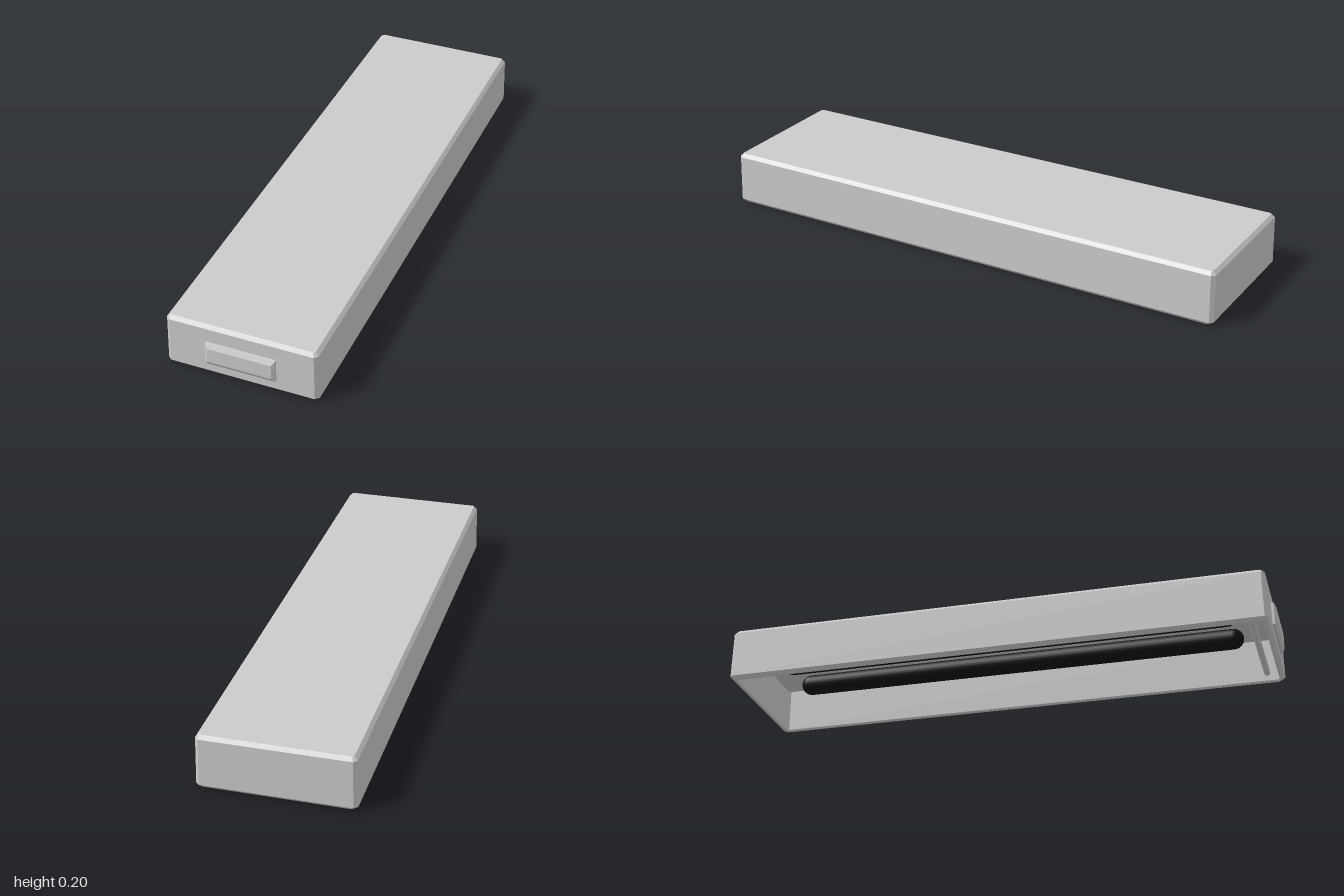
import * as THREE from 'three';

// Ring of a rectangle with cut corners at height y
function ring(hx, hz, y, c) {
  return [
    [-hx + c, hz], [hx - c, hz], [hx, hz - c], [hx, -hz + c],
    [hx - c, -hz], [-hx + c, -hz], [-hx, -hz + c], [-hx, hz - c],
  ].map(([x, z]) => [x, y, z]);
}

// Flat-shaded skin through a sequence of rings, capped at both ends
function skin(rings) {
  const pos = [];
  const tri = (a, b, c) => pos.push(...a, ...b, ...c);
  const n = rings[0].length;
  for (let k = 0; k < rings.length - 1; k++) {
    for (let i = 0; i < n; i++) {
      const j = (i + 1) % n;
      tri(rings[k][i], rings[k][j], rings[k + 1][j]);
      tri(rings[k][i], rings[k + 1][j], rings[k + 1][i]);
    }
  }
  const first = rings[0], last = rings[rings.length - 1];
  for (let i = 1; i < n - 1; i++) {
    tri(first[0], first[i + 1], first[i]);
    tri(last[0], last[i], last[i + 1]);
  }
  const geo = new THREE.BufferGeometry();
  geo.setAttribute('position', new THREE.Float32BufferAttribute(pos, 3));
  geo.computeVertexNormals();
  return geo;
}

export function createModel() {
  const group = new THREE.Group();
  const grey = new THREE.MeshStandardMaterial({ color: 0xcccccc });
  const black = new THREE.MeshStandardMaterial({ color: 0x111111 });
  const add = (name, geo, mat, x = 0, y = 0, z = 0) => {
    const mesh = new THREE.Mesh(geo, mat);
    mesh.name = name;
    mesh.position.set(x, y, z);
    group.add(mesh);
    return mesh;
  };

  // Housing open at the bottom: inner ceiling, inner wall, rim, outer wall, top
  const HX = 0.275, HZ = 0.992;
  const profile = [ // inset, height, corner cut
    [0.021, 0.17, 0.008],
    [0.021, 0.006, 0.008],
    [0.016, 0, 0.012],
    [0.012, 0, 0.013],
    [0, 0.013, 0.013],
    [0.003, 0.187, 0.013],
    [0.015, 0.2, 0.006],
  ];
  add('housing', skin(profile.map(([d, y, c]) => ring(HX - d, HZ - d, y, c))), grey, 0, 0, -0.008);

  // Bevelled plate on the front end
  const plate = skin([
    ring(0.126, 0.043, -0.01, 0.001),
    ring(0.126, 0.043, 0.01, 0.001),
    ring(0.115, 0.028, 0.018, 0.001),
  ]);
  add('frontPlate', plate, grey, 0, 0.092, 0.982).rotation.x = Math.PI / 2;

  // Two dark tubes under the ceiling
  for (const side of [-1, 1]) {
    const tube = new THREE.CapsuleGeometry(0.038, 1.64, 6, 24);
    add(side > 0 ? 'leftTube' : 'rightTube', tube, black, side * 0.097, 0.115, 0).rotation.x = Math.PI / 2;
  }

  // Thin cross rod near the front of the opening
  const rod = new THREE.CapsuleGeometry(0.012, 0.47, 5, 16);
  add('crossRod', rod, grey, 0, 0.03, 0.92).rotation.z = Math.PI / 2;

  return group;
}
